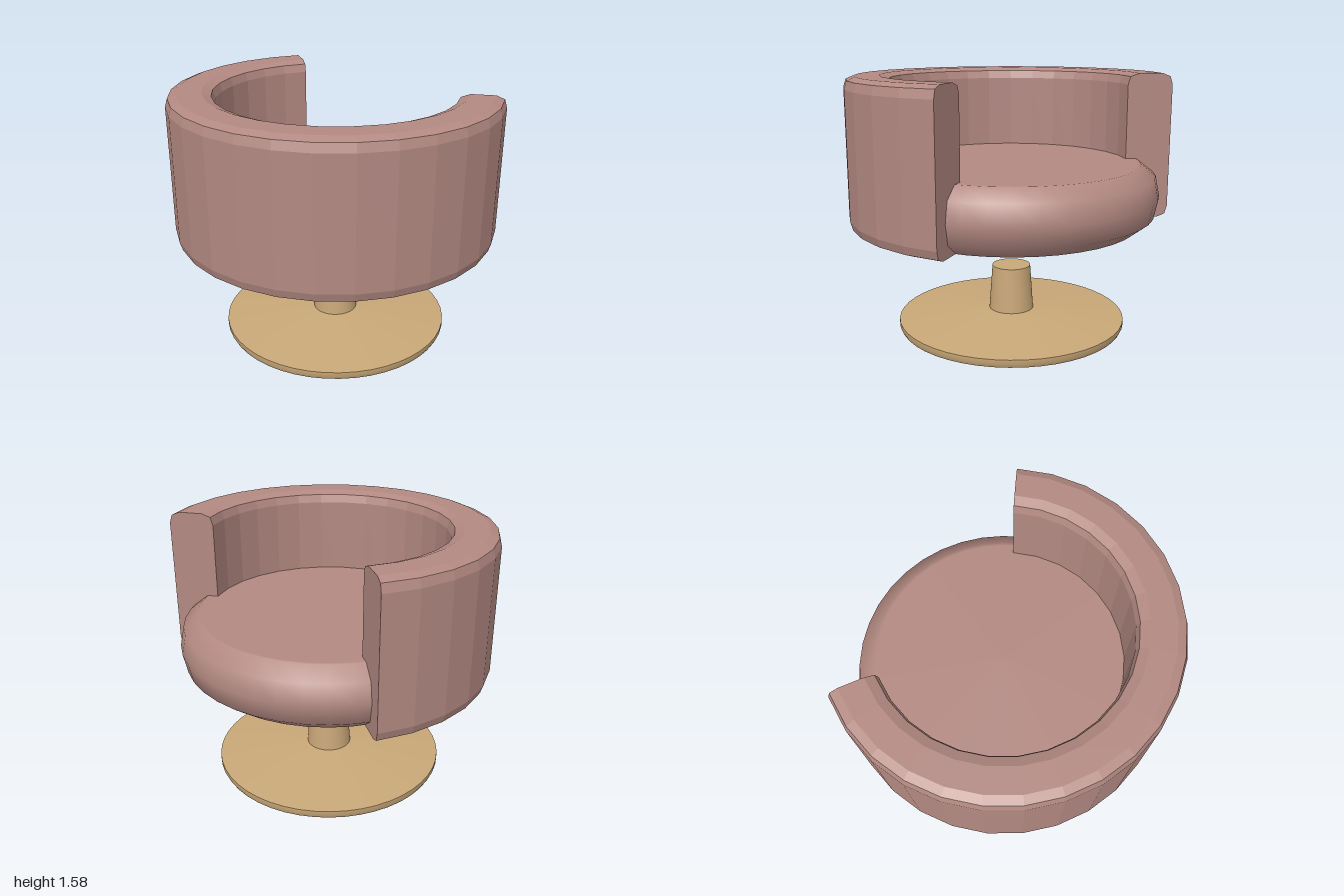
import * as THREE from 'three';
import { toCreasedNormals } from 'three/addons/utils/BufferGeometryUtils.js';

const deg = THREE.MathUtils.degToRad;
const points = (list) => list.map(([r, y]) => new THREE.Vector2(r, y));

export function createModel() {
  const chair = new THREE.Group();
  chair.name = 'swivelTubChair';
  chair.position.z = -0.05;

  const fabric = new THREE.MeshStandardMaterial({ color: 0xb38982 });
  const facetedFabric = new THREE.MeshStandardMaterial({ color: 0xb38982, flatShading: true, side: THREE.DoubleSide });
  const metal = new THREE.MeshStandardMaterial({ color: 0xc9a878 });

  const add = (parent, name, geometry, material) => {
    const mesh = new THREE.Mesh(geometry, material);
    mesh.name = name;
    parent.add(mesh);
    return mesh;
  };

  // Wrap-around backrest: bevelled section swept round an arc, open at the seat front
  const section = points([
    [0.79, 0.67], [0.935, 0.67], [0.985, 0.69], [1, 0.74],
    [1, 1.51], [0.985, 1.56], [0.935, 1.58],
    [0.79, 1.58], [0.735, 1.56], [0.72, 1.51],
    [0.72, 0.74], [0.735, 0.69],
  ]);
  const halfArc = deg(121);
  const backrest = new THREE.Group();
  backrest.name = 'backrest';
  chair.add(backrest);
  add(backrest, 'backrestShell',
    new THREE.LatheGeometry([...section, section[0]], 20, -halfArc, halfArc * 2), facetedFabric);

  // Flat ends of the backrest
  for (const side of [-1, 1]) {
    const end = add(backrest, side > 0 ? 'leftArmEnd' : 'rightArmEnd',
      new THREE.ShapeGeometry(new THREE.Shape(section)), facetedFabric);
    end.rotation.y = side * halfArc - Math.PI / 2;
  }

  // Round cushion with a soft rim
  const cushion = points([
    [0, 0.67], [0.77, 0.67], [0.79, 0.67], [0.88, 0.74], [0.905, 0.86],
    [0.88, 0.98], [0.79, 1.05], [0.77, 1.05], [0, 1.05],
  ]);
  add(chair, 'seatCushion', new THREE.LatheGeometry(cushion, 40), fabric);

  // Pedestal: shallow cone foot and tapered stem
  const pedestal = points([
    [0, 0], [0.705, 0], [0.715, 0.02], [0.715, 0.05],
    [0.14, 0.097], [0.12, 0.38], [0, 0.38],
  ]);
  add(chair, 'pedestalBase',
    toCreasedNormals(new THREE.LatheGeometry(pedestal, 48), deg(35)), metal);

  const model = new THREE.Group();
  model.name = 'chair';
  model.add(chair);
  return model;
}
